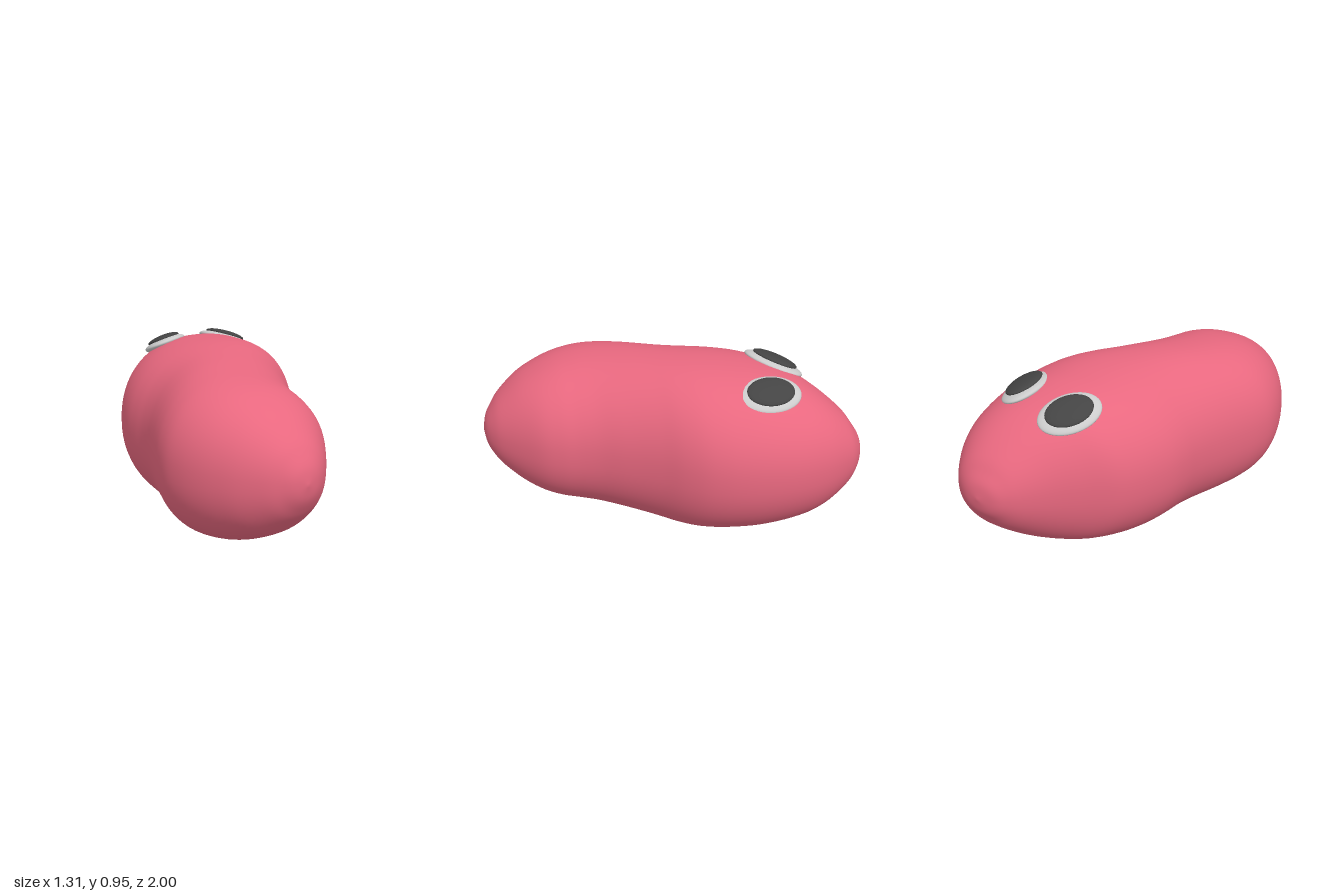
import * as THREE from 'three';
import { mergeVertices } from 'three/addons/utils/BufferGeometryUtils.js';

const MID = 0.475;

// Body stations from back to front: z, left edge x, right edge x, half height
const STATIONS = [
  [-1, 0.33, 0.33, 0], [-0.985, 0.235, 0.41, 0.078], [-0.95, 0.165, 0.475, 0.14],
  [-0.9, 0.1, 0.525, 0.21], [-0.8, -0.015, 0.585, 0.3], [-0.7, -0.14, 0.622, 0.365],
  [-0.6, -0.265, 0.643, 0.407], [-0.5, -0.34, 0.65, 0.435], [-0.4, -0.392, 0.647, 0.455],
  [-0.3, -0.43, 0.635, 0.465], [-0.2, -0.452, 0.612, 0.472], [-0.1, -0.47, 0.573, 0.474],
  [0, -0.5, 0.51, 0.47], [0.1, -0.543, 0.43, 0.463], [0.2, -0.59, 0.36, 0.455],
  [0.3, -0.632, 0.3, 0.444], [0.4, -0.655, 0.245, 0.432], [0.5, -0.65, 0.207, 0.417],
  [0.6, -0.625, 0.18, 0.394], [0.7, -0.582, 0.138, 0.355], [0.8, -0.52, 0.062, 0.298],
  [0.9, -0.428, -0.03, 0.21], [0.95, -0.36, -0.09, 0.145], [0.985, -0.3, -0.155, 0.078],
  [1, -0.23, -0.23, 0],
];

// Loft of rounded cross-sections through the stations
function bodyGeometry(rows = 120, cols = 72) {
  const leftEdge = new THREE.SplineCurve(STATIONS.map(s => new THREE.Vector2(s[0], s[1])));
  const rightAndHeight = new THREE.SplineCurve(STATIONS.map(s => new THREE.Vector2(s[2], s[3])));
  const soften = v => Math.sign(v) * Math.abs(v) ** (2 / 2.2);
  const pos = [], index = [];
  for (let i = 0; i <= rows; i++) {
    const a = leftEdge.getPoint(i / rows), b = rightAndHeight.getPoint(i / rows);
    const cx = (a.y + b.x) / 2, w = (b.x - a.y) / 2;
    for (let j = 0; j < cols; j++) {
      const t = (j / cols) * Math.PI * 2;
      pos.push(cx + w * soften(Math.cos(t)), MID + b.y * soften(Math.sin(t)), a.x);
      if (i === rows) continue;
      const k = (j + 1) % cols, r = i * cols, n = r + cols;
      if (i > 0) index.push(r + j, r + k, n + j);
      if (i < rows - 1) index.push(r + k, n + k, n + j);
    }
  }
  const g = new THREE.BufferGeometry();
  g.setAttribute('position', new THREE.Float32BufferAttribute(pos, 3));
  g.setIndex(index);
  const merged = mergeVertices(g, 1e-5);
  merged.computeVertexNormals();
  return merged;
}

// Flattened ellipsoid lying across the local y axis
function disc(name, material, w, thick, l, y) {
  const m = new THREE.Mesh(new THREE.SphereGeometry(1, 40, 24), material);
  m.name = name;
  m.scale.set(w, thick, l);
  m.position.y = y;
  return m;
}

export function createModel() {
  const group = new THREE.Group();
  const skin = new THREE.MeshStandardMaterial({ color: 0xe8687f });
  const white = new THREE.MeshStandardMaterial({ color: 0xcccccc });
  const dark = new THREE.MeshStandardMaterial({ color: 0x444444 });

  const body = new THREE.Mesh(bodyGeometry(), skin);
  body.name = 'body';
  group.add(body);

  // Eyes: name, centre, surface normal, turn about the normal
  const eyes = [
    ['rightEye', [0.027, 0.862, -0.585], [-0.16, 0.9, -0.38], -0.64],
    ['leftEye', [0.373, 0.862, -0.475], [0.38, 0.92, -0.06], 0.12],
  ];
  for (const [name, centre, normal, turn] of eyes) {
    const eye = new THREE.Group();
    eye.name = name;
    eye.position.set(...centre);
    eye.quaternion.setFromUnitVectors(new THREE.Vector3(0, 1, 0), new THREE.Vector3(...normal).normalize());
    eye.rotateY(turn);
    eye.add(disc('eyeWhite', white, 0.122, 0.034, 0.172, 0));
    eye.add(disc('pupil', dark, 0.094, 0.024, 0.13, 0.027));
    group.add(eye);
  }
  return group;
}
